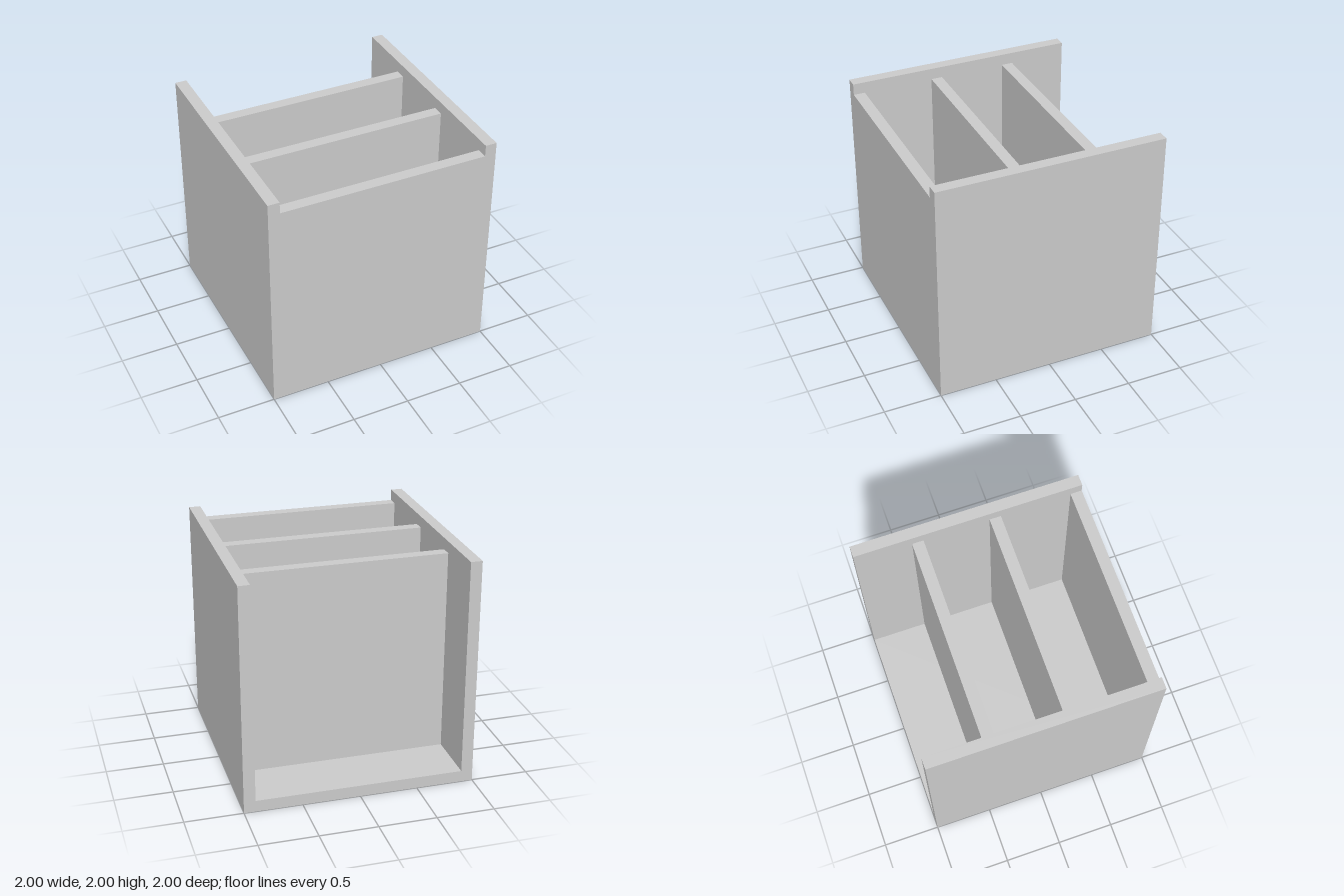
import * as THREE from 'three';

const T = 0.1; // board thickness

export function createModel() {
  const model = new THREE.Group();
  const material = new THREE.MeshStandardMaterial({ color: 0xcccccc, flatShading: true });

  function board(name, size, position) {
    const mesh = new THREE.Mesh(new THREE.BoxGeometry(...size), material);
    mesh.name = name;
    mesh.position.set(...position);
    model.add(mesh);
  }

  // Full-height side walls
  board('leftWall', [T, 2, 2], [1 - T / 2, 1, 0]);
  board('rightWall', [T, 2, 2], [-1 + T / 2, 1, 0]);

  // Floor between the walls
  const innerWidth = 2 - 2 * T;
  board('floor', [innerWidth, T, 2], [0, T / 2, 0]);

  // Upright panels on the floor, stopping short of the wall tops; the back bay stays open
  const panels = { frontPanel: 0.95, middleDivider: 0.23, rearDivider: -0.45 };
  for (const [name, z] of Object.entries(panels)) {
    board(name, [innerWidth, 2 - 2 * T, T], [0, 1, z]);
  }

  return model;
}
